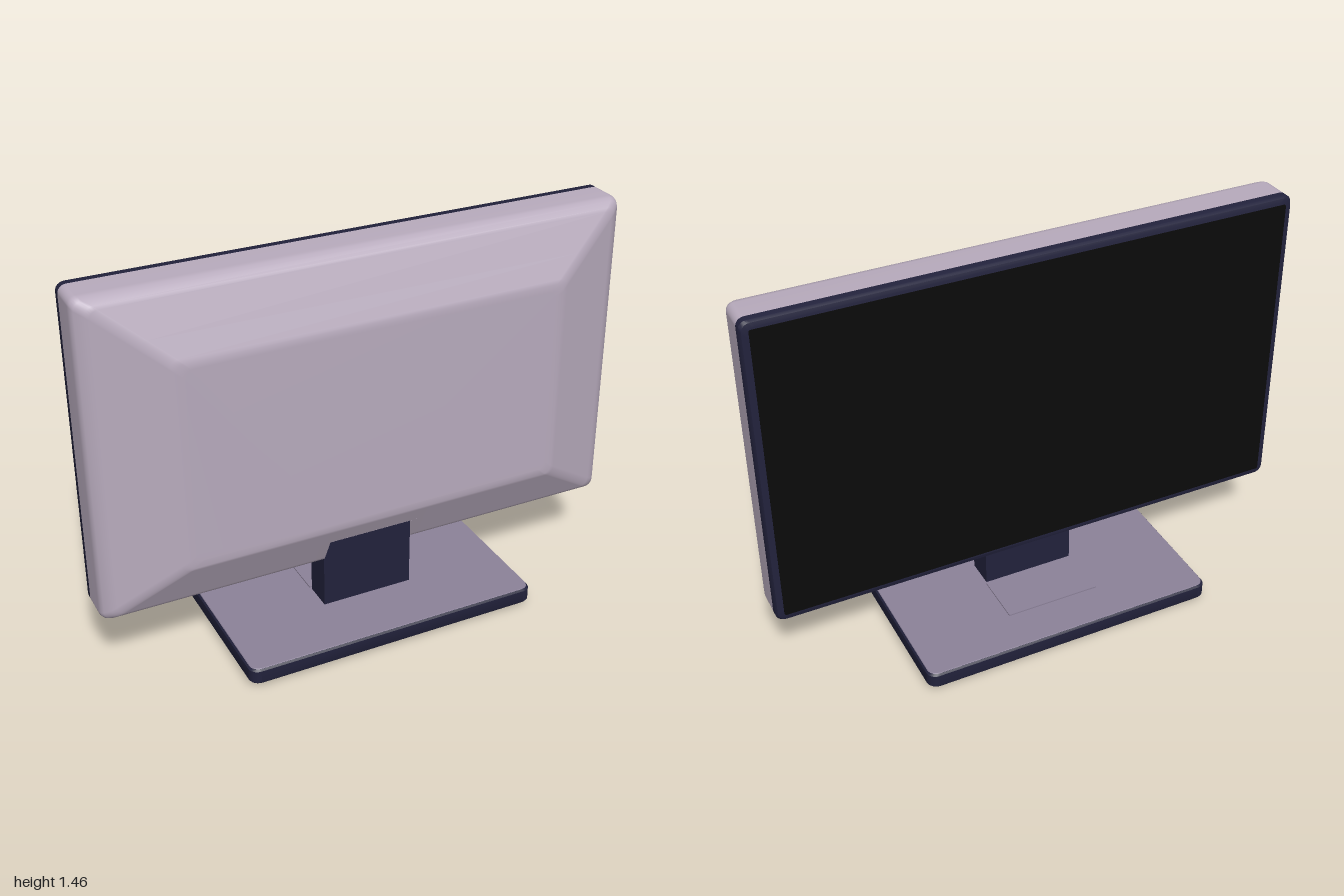
import * as THREE from 'three';
import { toCreasedNormals } from 'three/addons/utils/BufferGeometryUtils.js';

const NECK = 0.175; // half width of the neck and of the notch it sits in

// Rounded rectangle loop in the xy plane, with two points on the bottom edge at the notch
function ring(hw, y0, y1, r, z) {
  const pts = [[-NECK, y0, z], [NECK, y0, z]];
  const corners = [[hw - r, y0 + r], [hw - r, y1 - r], [r - hw, y1 - r], [r - hw, y0 + r]];
  corners.forEach(([cx, cy], c) => {
    for (let i = 0; i <= 6; i++) {
      const a = (c - 1 + i / 6) * Math.PI / 2;
      pts.push([cx + r * Math.cos(a), cy + r * Math.sin(a), z]);
    }
  });
  return pts;
}

// Skin a list of rings ordered by rising z; skip(j) leaves the notch open at band j
function loft(rings, { startCap = true, skip = () => false } = {}) {
  const n = rings[0].length, index = [];
  for (let j = 0; j < rings.length - 1; j++) {
    for (let i = 0; i < n; i++) {
      if (i === 0 && skip(j)) continue;
      const k = (i + 1) % n, a = j * n, b = a + n;
      index.push(a + i, a + k, b + k, a + i, b + k, b + i);
    }
  }
  const last = (rings.length - 1) * n;
  for (let i = 1; i < n - 1; i++) {
    index.push(last, last + i, last + i + 1);
    if (startCap) index.push(0, i + 1, i);
  }
  const g = new THREE.BufferGeometry();
  g.setAttribute('position', new THREE.Float32BufferAttribute(rings.flat(2), 3));
  g.setIndex(index);
  g.computeVertexNormals();
  return g;
}

export function createModel() {
  const group = new THREE.Group();
  const material = (name, color, side = THREE.FrontSide) => {
    const m = new THREE.MeshStandardMaterial({ color, side });
    m.name = name;
    return m;
  };
  const mauve = material('pale mauve', 0xb8abbd, THREE.DoubleSide);
  const dusk = material('dusky mauve', 0x8c8299);
  const navy = material('dark navy', 0x22223c);
  const black = material('screen black', 0x0a0a0a);
  const add = (name, geometry, mat) => {
    const m = new THREE.Mesh(geometry, mat);
    m.name = name;
    group.add(m);
    return m;
  };

  // Housing: straight rim, rounded shoulder, sloped sides and flat plateau
  const rim = (inset, z, r = 0.03) => ring(1 - inset, 0.26 + inset, 1.455 - inset, r, z);
  const mix = THREE.MathUtils.lerp;
  const slope = t => ring(mix(0.965, 0.715, t), mix(0.285, 0.455, t), mix(1.43, 1.22, t), 0.03, mix(0.125, 0.21, t));
  const housing = [
    rim(0, -0.02), rim(0, 0.075), rim(0.003, 0.09), rim(0.01, 0.105),
    slope(0), slope(0.06), slope(0.59), slope(0.93), slope(1),
    ring(0.685, 0.48, 1.195, 0.03, 0.211),
  ];
  add('rearHousing', loft(housing, { startCap: false, skip: j => j >= 3 && j < 6 }), mauve);

  // Notch lining around the neck
  const cheek = new THREE.Shape([[0.1, 0.27], [0.105, 0.27], [0.125, 0.285], [0.175, 0.385], [0.1, 0.385]]
    .map(p => new THREE.Vector2(...p)));
  for (const s of [-1, 1]) {
    add('notchWall', new THREE.ShapeGeometry(cheek).rotateY(-Math.PI / 2).translate(s * NECK, 0, 0), mauve);
  }
  add('notchCeiling', new THREE.PlaneGeometry(NECK * 2, 0.075).rotateX(Math.PI / 2).translate(0, 0.385, 0.1375), mauve);

  // Bezel with rounded outer edge, and the screen on it
  const bezel = [rim(0.02, -0.06), rim(0.006, -0.056), rim(0, -0.045), rim(0, -0.02)];
  add('bezel', toCreasedNormals(loft(bezel), 0.6), navy);
  const screen = [rim(0.028, -0.062, 0.008), rim(0.028, -0.058, 0.008)];
  add('screen', toCreasedNormals(loft(screen), 0.6), black);

  // Neck
  add('neck', new THREE.BoxGeometry(NECK * 2, 0.31, 0.11).translate(0, 0.23, 0.065), navy);

  // Base: stepped foot, slab and coloured top plate
  const slab = (inset, y) => ring(0.565 - inset, -0.362 + inset, 0.362 - inset, 0.035, y);
  const flat = rings => toCreasedNormals(loft(rings).rotateX(-Math.PI / 2), 0.6);
  add('base', flat([
    slab(0.045, 0), slab(0.03, 0.006), slab(0.024, 0.018), slab(0.004, 0.018),
    slab(0, 0.024), slab(0, 0.07), slab(0.005, 0.077),
  ]), navy);
  add('baseTop', flat([slab(0.005, 0.076), slab(0.007, 0.08)]), dusk);
  add('baseRaisedPanel', new THREE.BoxGeometry(0.36, 0.006, 0.2).translate(0, 0.082, -0.1), dusk);

  return group;
}
